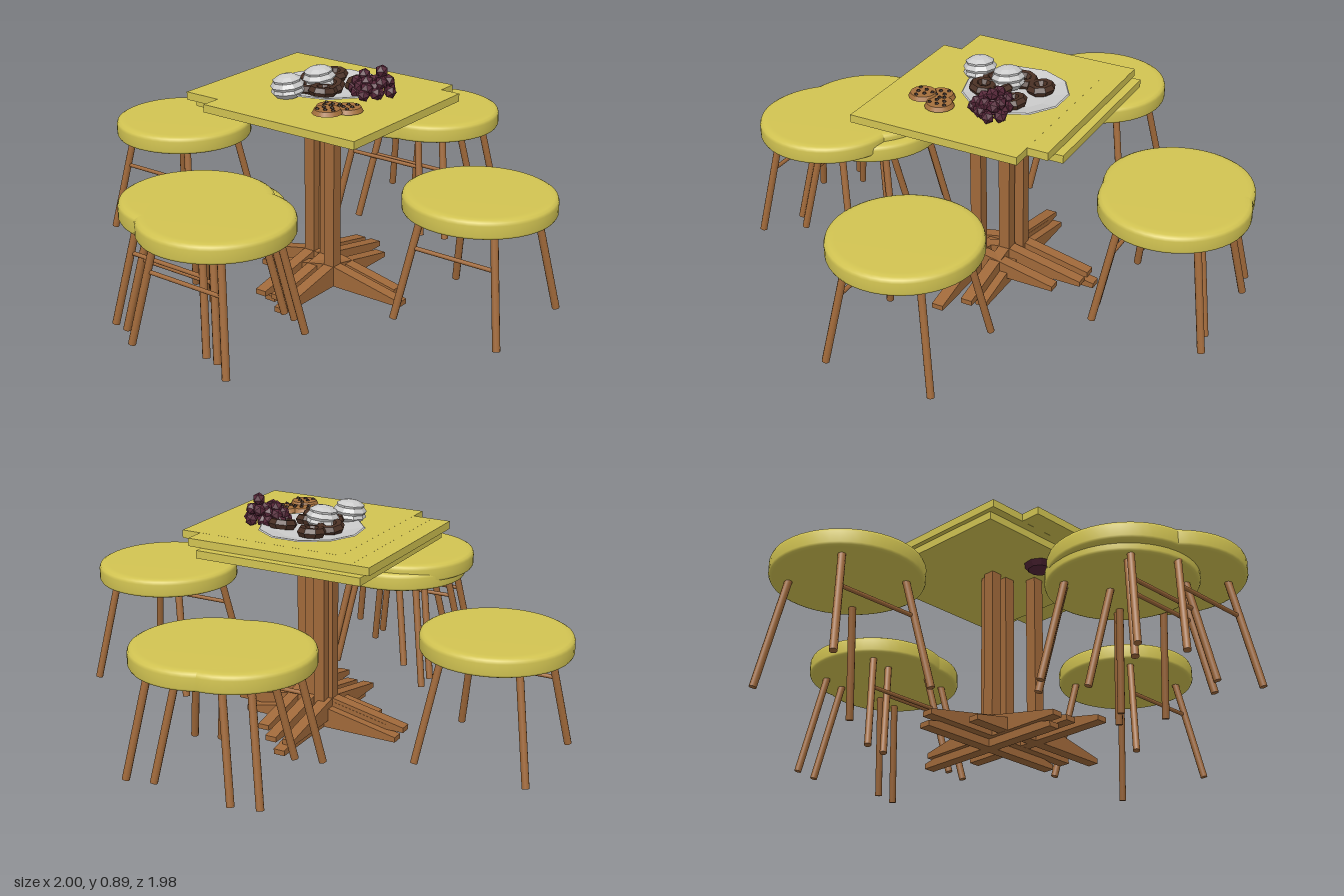
import * as THREE from 'three';

const mat = (color, flatShading = false) =>
  new THREE.MeshStandardMaterial({ color, flatShading, side: THREE.DoubleSide });
const paint = mat(0xd2c452), wood = mat(0xa0693a), china = mat(0xcccccc, true);
const chocolate = mat(0x4a3024, true), biscuit = mat(0xa5703c), chip = mat(0x3c261a, true);
const cream = mat(0xd4d4d8, true), berry = mat(0x552638, true);

function add(parent, name, geometry, material, x = 0, y = 0, z = 0) {
  const m = new THREE.Mesh(geometry, material);
  m.name = name;
  m.position.set(x, y, z);
  parent.add(m);
  return m;
}

function group(parent, name, x = 0, y = 0, z = 0) {
  const g = new THREE.Group();
  g.name = name;
  g.position.set(x, y, z);
  parent.add(g);
  return g;
}

// Round bar between two points
function bar(parent, name, a, b, r) {
  const dir = b.clone().sub(a);
  const m = add(parent, name, new THREE.CylinderGeometry(r, r, dir.length(), 10), wood);
  m.position.copy(a).add(b).multiplyScalar(0.5);
  m.quaternion.setFromUnitVectors(new THREE.Vector3(0, 1, 0), dir.normalize());
}

// Pedestal table: square top, square column, two crossed tapered feet
function table(parent, x, y, z) {
  const g = group(parent, 'table', x, y, z);
  add(g, 'tableTop', new THREE.BoxGeometry(0.668, 0.03, 0.668), paint, 0, 0.725, 0);
  add(g, 'column', new THREE.BoxGeometry(0.045, 0.68, 0.045), wood, 0, 0.37, 0);
  const profile = new THREE.Shape([
    [-0.325, 0], [0.325, 0], [0.325, 0.02], [0.03, 0.08], [-0.03, 0.08], [-0.325, 0.02],
  ].map(([px, py]) => new THREE.Vector2(px, py)));
  const foot = new THREE.ExtrudeGeometry(profile, { depth: 0.045, bevelEnabled: false });
  foot.translate(0, 0, -0.0225);
  for (const turn of [0, Math.PI / 2]) add(g, 'foot', foot, wood).rotation.y = turn;
}

// Round stool: softened seat, four splayed legs, one stretcher
function stool(parent, x, y, z) {
  const g = group(parent, 'stool', x, y, z);
  const profile = [[0, 0.435], [0.262, 0.435], [0.271, 0.439], [0.275, 0.447], [0.275, 0.487],
    [0.271, 0.498], [0.26, 0.504], [0.24, 0.506], [0, 0.506]];
  add(g, 'seat', new THREE.LatheGeometry(profile.map(p => new THREE.Vector2(...p)), 48), paint);
  for (const sx of [-1, 1]) for (const sz of [-1, 1]) {
    bar(g, 'stoolLeg', new THREE.Vector3(sx * 0.145, 0.44, sz * 0.145),
      new THREE.Vector3(sx * 0.213, 0.035, sz * 0.213), 0.014);
  }
  bar(g, 'stretcher', new THREE.Vector3(-0.165, 0.305, 0.165),
    new THREE.Vector3(0.165, 0.305, 0.165), 0.008);
}

// Flat cookie with chips on top
function cookie(parent, x, y, z, phase) {
  const g = group(parent, 'cookie', x, y, z);
  add(g, 'cookieBase', new THREE.CylinderGeometry(0.047, 0.055, 0.016, 14), biscuit);
  for (let i = 0; i < 6; i++) {
    const a = phase + i * 1.05, r = i % 2 ? 0.035 : 0.018;
    add(g, 'chocolateChip', new THREE.IcosahedronGeometry(0.008, 0), chip,
      Math.cos(a) * r, 0.008, Math.sin(a) * r);
  }
}

// Swirled cream cake made of stacked faceted rings
function creamCake(parent, x, y, z) {
  const profile = [[0, 0], [0.045, 0], [0.064, 0.02], [0.058, 0.032], [0.064, 0.042],
    [0.052, 0.058], [0.054, 0.066], [0.034, 0.078], [0, 0.085]];
  const cake = add(parent, 'creamCake',
    new THREE.LatheGeometry(profile.map(p => new THREE.Vector2(...p)), 9), cream, x, y, z);
  cake.rotation.set(0.1, x * 9, 0.08);
}

// Bunch of faceted berries, wide at the base and narrow on top
function berryBunch(parent, x, y, z, height) {
  const g = group(parent, 'berryBunch', x, y, z);
  for (let row = 0; row < 3; row++) {
    const count = [5, 4, 1][row], spread = [0.038, 0.026, 0][row];
    for (let i = 0; i < count; i++) {
      const a = i / count * Math.PI * 2 + row;
      const b = add(g, 'berry', new THREE.IcosahedronGeometry(0.025, 0), berry,
        Math.cos(a) * spread, 0.02 + row * height / 3, Math.sin(a) * spread);
      b.rotation.set(a, row, i);
    }
  }
}

export function createModel() {
  const model = new THREE.Group();
  model.name = 'diningSet';

  // Overlapping tables, the first one slightly lower
  table(model, -0.018, 0, -0.061);
  table(model, -0.036, 0.03, -0.028);
  table(model, 0.037, 0.0302, -0.029);
  table(model, 0.115, 0.0304, 0.05);

  // Stools on all four sides
  for (const [x, y, z] of [
    [-0.725, 0, -0.06], [-0.018, 0, 0.6], [0.72, 0.03, 0],
    [-0.04, 0.03, 0.63], [0.115, 0.0302, 0.71],
    [-0.04, 0.03, -0.69], [0.06, 0.0302, -0.715],
  ]) stool(model, x, y, z);

  // Plate
  const food = group(model, 'food');
  const rim = [[0, 0.004], [0.13, 0.004], [0.195, 0.016], [0.2, 0.012], [0.135, 0], [0, 0]];
  add(food, 'plate', new THREE.LatheGeometry(rim.map(p => new THREE.Vector2(...p)), 11),
    china, 0.025, 0.772, -0.06);

  // Doughnuts
  for (const [x, z, tilt] of [[-0.02, -0.14, 0.1], [-0.05, -0.055, -0.15], [0.125, -0.1, 0.2],
    [0.0, 0.04, 0.1], [0.07, 0.05, -0.1], [0.06, -0.01, 0.25]]) {
    const d = add(food, 'doughnut', new THREE.TorusGeometry(0.036, 0.02, 6, 8), chocolate, x, 0.793, z);
    d.rotation.x = Math.PI / 2 + tilt;
  }

  creamCake(food, -0.035, 0.772, 0.12);
  creamCake(food, 0.005, 0.778, -0.02);

  berryBunch(food, 0.17, 0.775, -0.07, 0.075);
  berryBunch(food, 0.24, 0.775, -0.08, 0.11);
  berryBunch(food, 0.21, 0.775, -0.03, 0.06);

  cookie(food, 0.245, 0.782, 0.135, 0);
  cookie(food, 0.185, 0.782, 0.165, 0.6);
  cookie(food, 0.215, 0.79, 0.22, 1.3);

  // Dark cake set low, peeking out beneath the table top
  add(food, 'lowCake', new THREE.CylinderGeometry(0.07, 0.045, 0.035, 9), berry, 0.035, 0.706, 0.155);

  return model;
}
